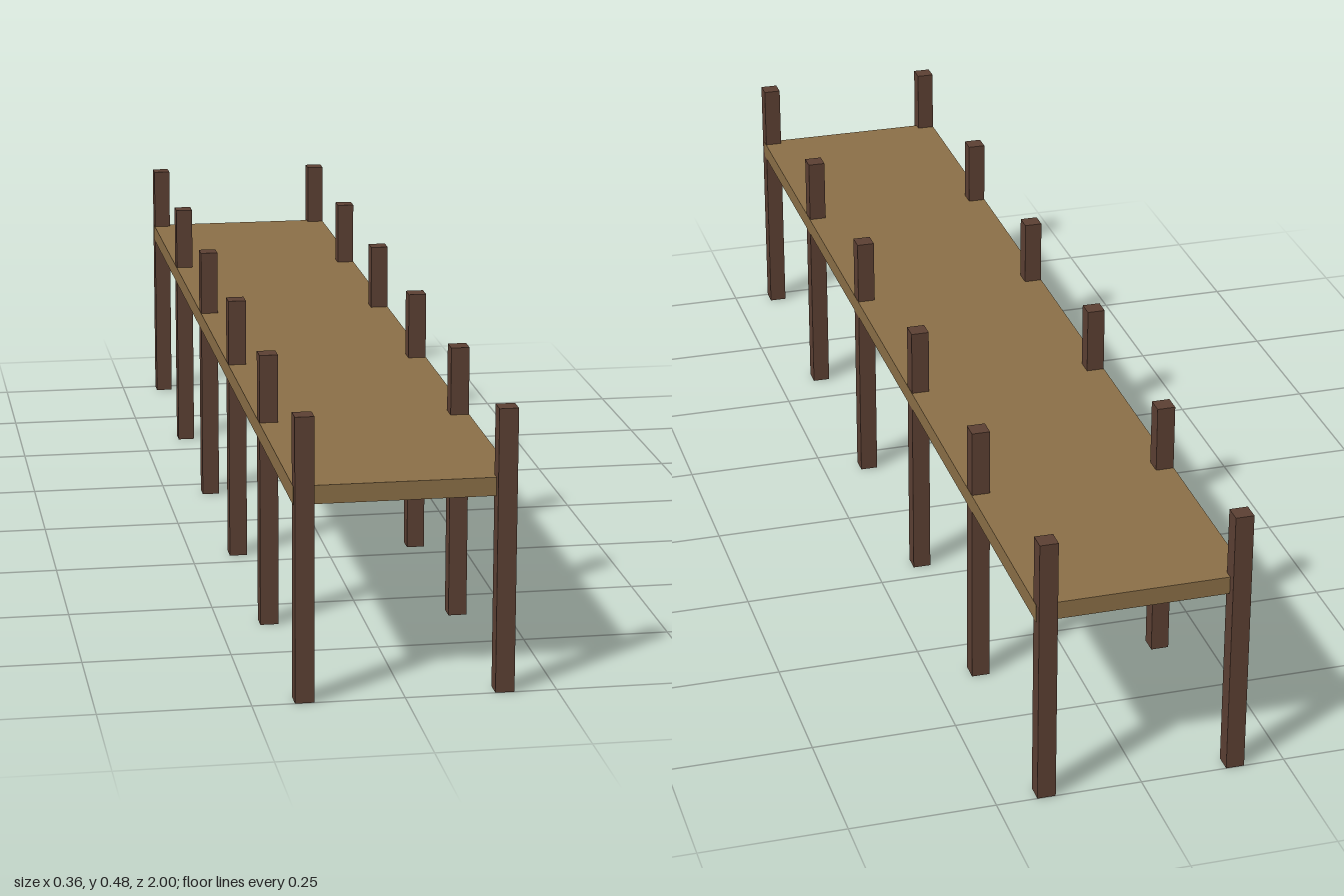
import * as THREE from 'three';

export function createModel() {
  const group = new THREE.Group();
  group.name = 'pier';
  const deckMaterial = new THREE.MeshStandardMaterial({ color: 0x8b6f47 });
  const postMaterial = new THREE.MeshStandardMaterial({ color: 0x5c4033 });

  // Walkway slab, a hair proud of the posts' outer faces
  const deck = new THREE.Mesh(new THREE.BoxGeometry(0.361, 0.031, 1.969), deckMaterial);
  deck.name = 'deck';
  deck.position.y = 0.344;
  group.add(deck);

  // Six pairs of square posts, running through the deck
  const size = 0.0315, height = 0.477, pairs = 6;
  const postGeometry = new THREE.BoxGeometry(size, height, size);
  const endZ = 1 - size / 2;
  for (let i = 0; i < pairs; i++) {
    for (const side of [-1, 1]) {
      const post = new THREE.Mesh(postGeometry, postMaterial);
      post.name = side > 0 ? 'leftPost' : 'rightPost';
      post.position.set(side * (0.18 - size / 2), height / 2, endZ - (i * 2 * endZ) / (pairs - 1));
      group.add(post);
    }
  }
  return group;
}
